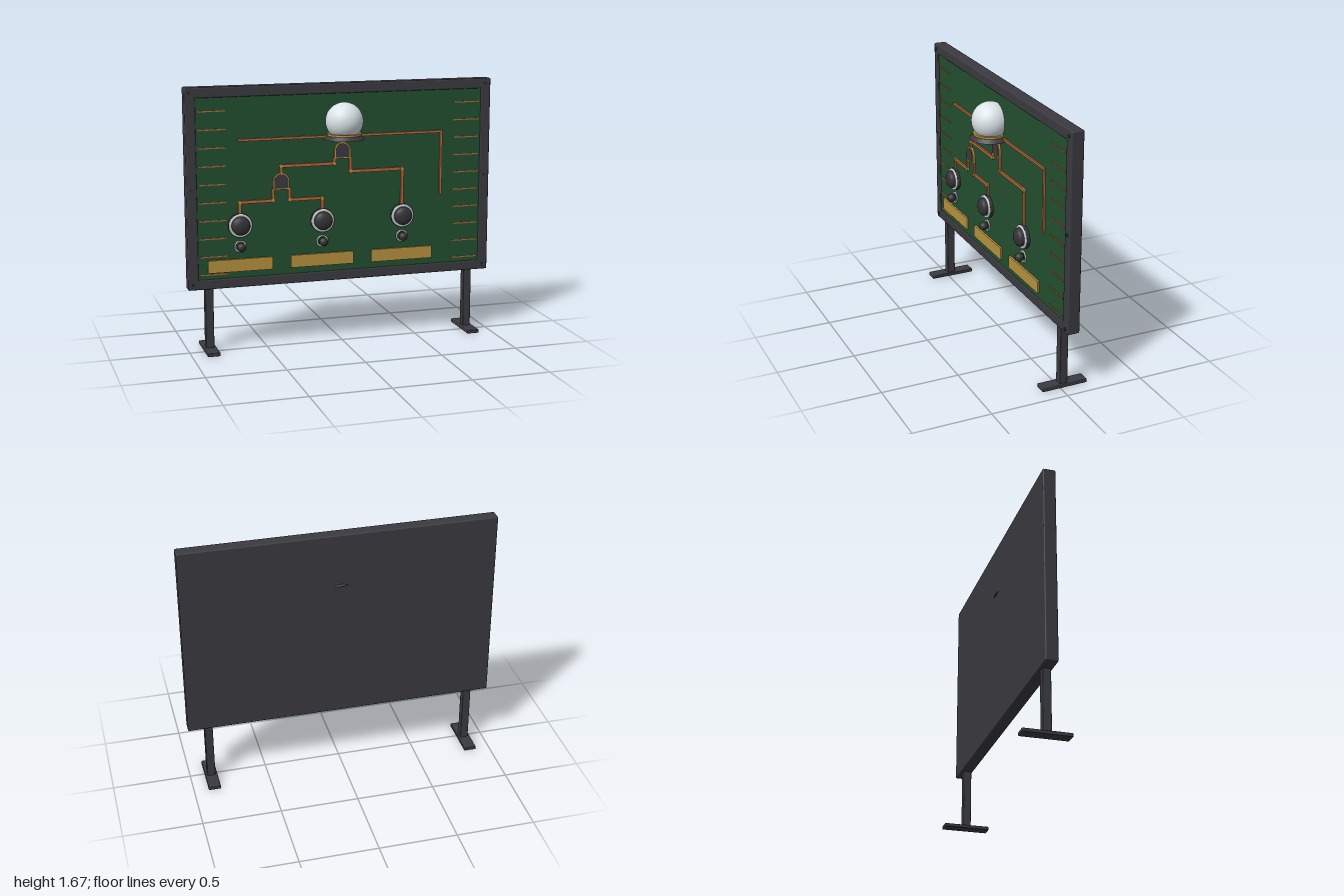
import * as THREE from 'three';
import { RoundedBoxGeometry } from 'three/addons/geometries/RoundedBoxGeometry.js';

const mat = (name, color) => {
  const m = new THREE.MeshStandardMaterial({ color });
  m.name = name;
  return m;
};

export function createModel() {
  const root = new THREE.Group();
  const charcoal = mat('charcoal frame', 0x3b3a40);
  const black = mat('black knob', 0x343438);
  const green = mat('board green', 0x22502f);
  const copper = mat('copper', 0xb8683a);
  const gold = mat('gold', 0xb8923f);
  const silver = mat('silver', 0xc4c7ca);
  const glass = mat('frosted glass', 0xdfe8ec);

  const add = (name, geo, material, x = 0, y = 0, z = 0, parent = root) => {
    const m = new THREE.Mesh(geo, material);
    m.name = name;
    m.position.set(x, y, z);
    parent.add(m);
    return m;
  };
  // Box given by its limits, with optional rounded edges
  const box = (name, material, x0, x1, y0, y1, z0, z1, r = 0) => {
    const [w, h, d] = [x1 - x0, y1 - y0, z1 - z0];
    const geo = r ? new RoundedBoxGeometry(w, h, d, 2, r) : new THREE.BoxGeometry(w, h, d);
    return add(name, geo, material, (x0 + x1) / 2, (y0 + y1) / 2, (z0 + z1) / 2);
  };
  // Disc whose axis points to the front
  const disc = (r, d, seg = 32) => new THREE.CylinderGeometry(r, r, d, seg).rotateX(Math.PI / 2);

  // Frame rails, back cover and green board
  const [bottom, top, back, face] = [0.405, 1.67, -0.07, 0.01];
  box('frameBottom', charcoal, -1, 1, bottom, 0.468, back, face, 0.008);
  box('frameTop', charcoal, -1, 1, 1.605, top, back, face, 0.008);
  for (const s of [-1, 1])
    box('frameSide', charcoal, s * 0.967 - 0.033, s * 0.967 + 0.033, bottom, top, back, face, 0.008);
  box('backCover', charcoal, -0.985, 0.985, 0.42, 1.655, back, -0.02);
  box('board', green, -0.94, 0.94, 0.46, 1.61, -0.02, 0.003);

  // Frame screws, legs and feet
  for (const s of [-1, 1]) {
    for (const y of [0.436, 1.037, 1.636]) add('screw', disc(0.01, 0.012, 12), black, s * 0.968, y, 0.01);
    box('leg', charcoal, s * 0.867 - 0.026, s * 0.867 + 0.026, 0.015, 0.42, -0.053, -0.001, 0.004);
    box('foot', charcoal, s * 0.867 - 0.04, s * 0.867 + 0.04, 0, 0.023, -0.18, 0.12, 0.005);
  }

  // Edge contact lines
  for (let i = 0; i < 10; i++)
    for (const s of [-1, 1])
      box('edgeContact', copper, s * 0.835 - 0.086, s * 0.835 + 0.086,
        1.518 - i * 0.1138, 1.525 - i * 0.1138, 0.002, 0.007);

  // Copper traces: right-angled paths with gold pads on the bends
  const trace = (pts, w, pads) => {
    for (let i = 1; i < pts.length; i++) {
      const [a, b] = [pts[i - 1], pts[i]];
      box('trace', copper, Math.min(a[0], b[0]) - w / 2, Math.max(a[0], b[0]) + w / 2,
        Math.min(a[1], b[1]) - w / 2, Math.max(a[1], b[1]) + w / 2, 0.002, 0.014);
    }
    if (pads) for (const p of pts.slice(1, -1)) add('tracePad', disc(0.012, 0.014, 16), gold, p[0], p[1], 0.01);
  };
  const inputs = [-0.667, -0.134, 0.4];
  trace([[inputs[0], 0.86], [inputs[0], 0.947], [-0.453, 0.947], [-0.453, 1.015]], 0.019, true);
  trace([[inputs[1], 0.86], [inputs[1], 0.947], [-0.347, 0.947], [-0.347, 1.015]], 0.019, true);
  trace([[-0.4, 1.11], [-0.4, 1.163], [-0.053, 1.163], [-0.053, 1.19]], 0.019, true);
  trace([[inputs[2], 0.86], [inputs[2], 1.108], [0.053, 1.108], [0.053, 1.19]], 0.019, true);
  trace([[0, 1.28], [0, 1.33]], 0.019, false);
  trace([[-0.667, 1.337], [0.663, 1.337], [0.663, 0.935]], 0.015, false);

  // Arched gates with a gold rim
  const arch = (r, y0, yc, depth) => {
    const s = new THREE.Shape();
    s.moveTo(-r, y0);
    s.lineTo(r, y0);
    s.lineTo(r, yc);
    s.absarc(0, yc, r, 0, Math.PI, false);
    s.closePath();
    return new THREE.ExtrudeGeometry(s, { depth, bevelEnabled: false, curveSegments: 24 });
  };
  for (const [x, y] of [[-0.4, 1.015], [0, 1.193]]) {
    add('gateRim', arch(0.053, 0, 0.052, 0.014), gold, x, y, 0.002);
    add('gateBody', arch(0.045, 0.008, 0.052, 0.017), charcoal, x, y, 0.002);
  }

  // Inputs: large knob, small button and gold label plate
  const knobProfile = [[0.058, 0], [0.058, 0.042], [0.053, 0.053], [0.042, 0.061], [0.025, 0.067], [0, 0.069]]
    .map(p => new THREE.Vector2(...p));
  for (const x of inputs) {
    add('knobBase', disc(0.076, 0.024), black, x, 0.803, 0.012);
    add('knobRing', new THREE.TorusGeometry(0.066, 0.009, 12, 40), silver, x, 0.803, 0.026);
    add('knob', new THREE.LatheGeometry(knobProfile, 40).rotateX(Math.PI / 2), black, x, 0.803, 0.002);
    add('buttonRing', new THREE.TorusGeometry(0.034, 0.006, 10, 32), silver, x, 0.668, 0.012);
    add('buttonStem', disc(0.014, 0.035, 16), black, x, 0.668, 0.018);
    add('button', new THREE.SphereGeometry(0.028, 24, 16), black, x, 0.668, 0.039);
    box('labelPlate', gold, x - 0.207, x + 0.207, 0.508, 0.588, 0.002, 0.015);
  }

  // Lamp: flared base, gold collar and globe
  const lamp = new THREE.Group();
  lamp.name = 'lamp';
  lamp.position.set(0, 0, 0.05);
  root.add(lamp);
  add('lampBase', new THREE.CylinderGeometry(0.11, 0.13, 0.025, 40), charcoal, 0, 1.3345, 0, lamp);
  add('lampCollar', new THREE.CylinderGeometry(0.108, 0.108, 0.014, 40), gold, 0, 1.352, 0, lamp);
  add('lampGlobe', new THREE.SphereGeometry(0.119, 40, 28, 0, Math.PI * 2, 0, Math.PI * 0.78), glass, 0, 1.435, 0, lamp);

  return root;
}
